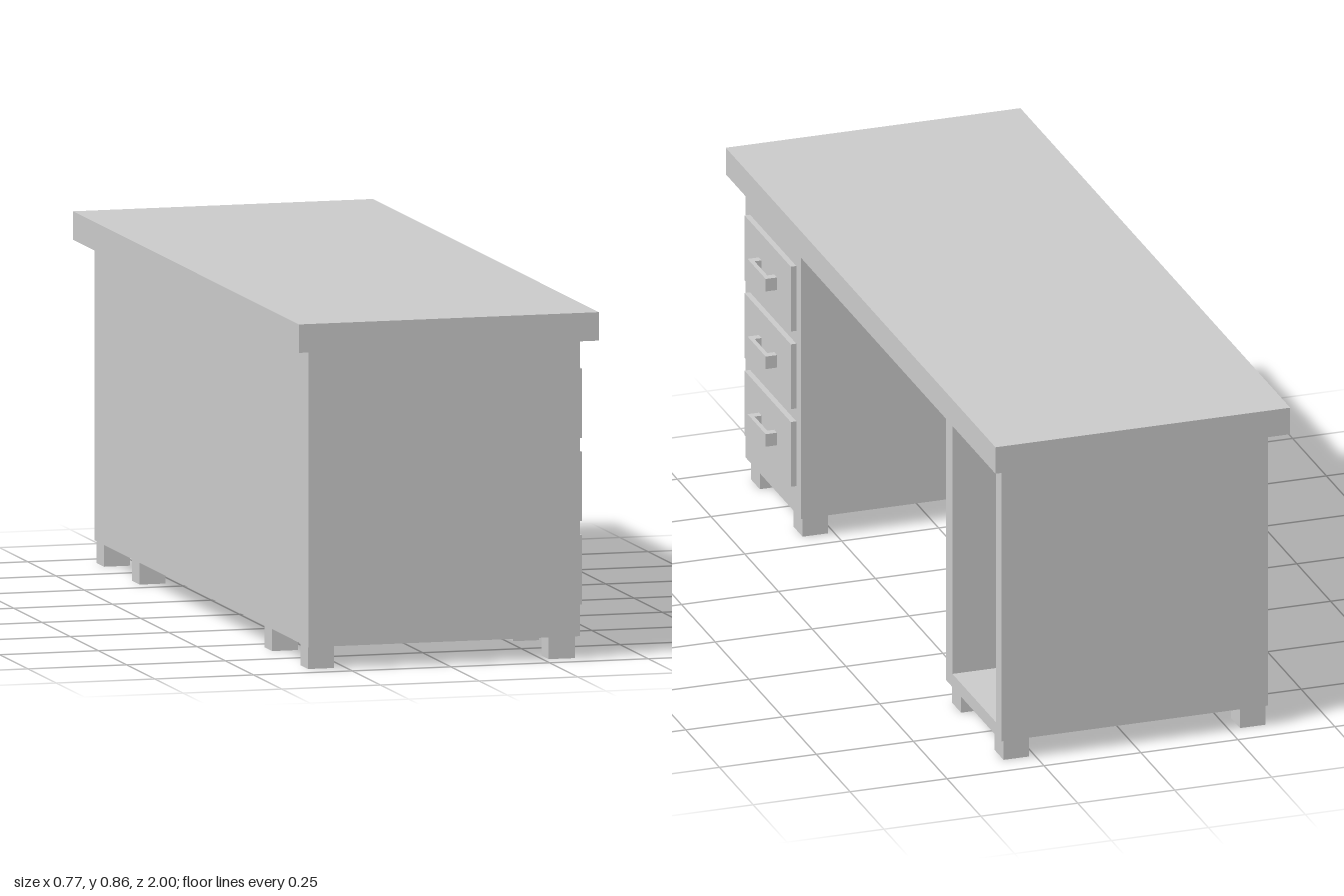
import * as THREE from 'three';

export function createModel() {
  const desk = new THREE.Group();
  desk.name = 'desk';
  const material = new THREE.MeshStandardMaterial({ color: 0xcccccc, flatShading: true });

  // Box given by its lower and upper limits on each axis
  function box(name, [x0, x1], [y0, y1], [z0, z1], parent = desk) {
    const mesh = new THREE.Mesh(new THREE.BoxGeometry(x1 - x0, y1 - y0, z1 - z0), material);
    mesh.position.set((x0 + x1) / 2, (y0 + y1) / 2, (z0 + z1) / 2);
    mesh.name = name;
    parent.add(mesh);
    return mesh;
  }

  const back = -0.347, inner = -0.317, front = 0.341;
  const bottom = 0.055, under = 0.788;

  // Worktop and full-length back panel
  box('worktop', [-0.385, 0.375], [under, 0.858], [-1, 1]);
  box('backPanel', [back, inner], [bottom, under], [-0.945, 0.95]);

  // Closed pedestal holding the drawers
  box('drawerPedestal', [inner, front], [bottom, under], [0.54, 0.95]);

  // Open pedestal: two side walls and a floor
  const cabinet = new THREE.Group();
  cabinet.name = 'openCabinet';
  desk.add(cabinet);
  box('cabinetOuterWall', [inner, front], [bottom, under], [-0.945, -0.905], cabinet);
  box('cabinetInnerWall', [inner, front], [bottom, under], [-0.583, -0.535], cabinet);
  box('cabinetFloor', [inner, front], [bottom, 0.09], [-0.905, -0.583], cabinet);

  // Drawer fronts with bracket handles
  for (let i = 0; i < 3; i++) {
    const y = 0.128 + i * 0.205;
    const drawer = new THREE.Group();
    drawer.name = 'drawer';
    desk.add(drawer);
    box('drawerFront', [front, 0.355], [y, y + 0.171], [0.575, 0.918], drawer);
    const h = [y + 0.069, y + 0.102];
    box('handleBar', [0.373, 0.384], h, [0.678, 0.812], drawer);
    box('handlePost', [0.355, 0.373], h, [0.678, 0.698], drawer);
    box('handlePost', [0.355, 0.373], h, [0.792, 0.812], drawer);
  }

  // Four block feet under each pedestal
  for (const x of [-0.312, 0.298]) {
    for (const z of [0.907, 0.59, -0.585, -0.9]) {
      box('foot', [x - 0.033, x + 0.033], [0, bottom], [z - 0.033, z + 0.033]);
    }
  }
  return desk;
}
